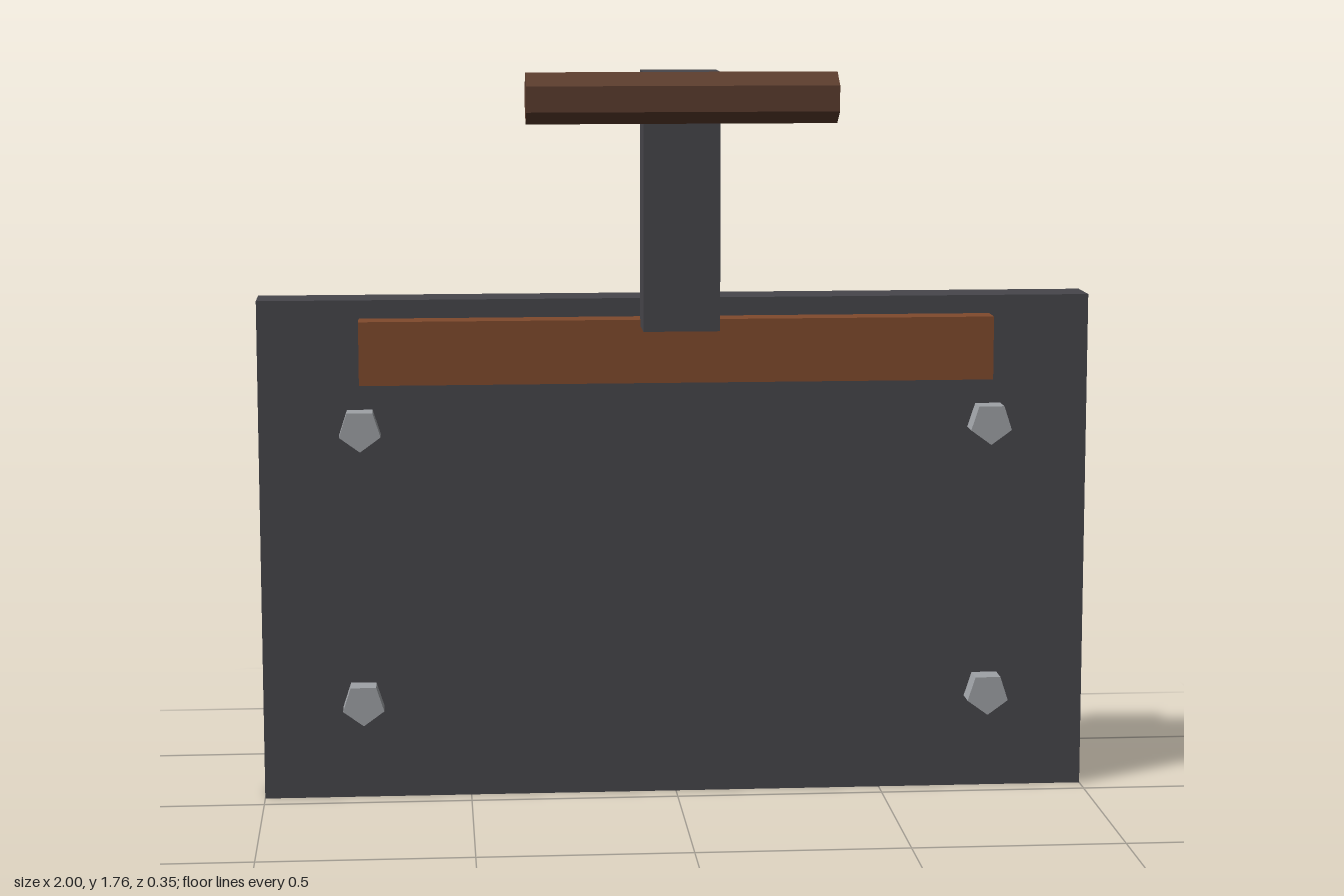
import * as THREE from 'three';

const material = (name, color) => {
  const m = new THREE.MeshStandardMaterial({ color });
  m.name = name;
  return m;
};

export function createModel() {
  const iron = material('dark iron', 0x47464b);
  const leather = material('tan leather', 0x804a2d);
  const wood = material('dark wood', 0x5c3d2e);
  const steel = material('bolt steel', 0x9fa2a6);

  const model = new THREE.Group();
  const add = (name, geometry, mat, x, y, z) => {
    // Unshared vertices keep every facet flat
    const flat = geometry.toNonIndexed();
    flat.computeVertexNormals();
    const mesh = new THREE.Mesh(flat, mat);
    mesh.name = name;
    mesh.position.set(x, y, z);
    model.add(mesh);
  };

  // Main slab, the band across it and the upright post
  add('plate', new THREE.BoxGeometry(2, 1.214, 0.12), iron, 0, 0.607, -0.116);
  add('band', new THREE.BoxGeometry(1.516, 0.152, 0.076), leather, 0, 1.094, -0.022);
  add('post', new THREE.BoxGeometry(0.18, 0.606, 0.12), iron, 0, 1.457, 0.064);

  // Six-sided cross grip with an edge pointing up
  const grip = new THREE.CylinderGeometry(0.06, 0.06, 0.726, 6);
  grip.rotateX(Math.PI / 2).rotateY(Math.PI / 2);
  add('grip', grip, wood, 0, 1.7, 0.124);

  // Five-sided bolts at the corners, one point down
  for (const side of [-1, 1]) {
    for (const y of [0.242, 0.909]) {
      const bolt = new THREE.CylinderGeometry(0.052, 0.052, 0.061, 5);
      bolt.rotateX(Math.PI / 2);
      add('bolt', bolt, steel, side * 0.758, y, -0.0255);
    }
  }
  return model;
}
